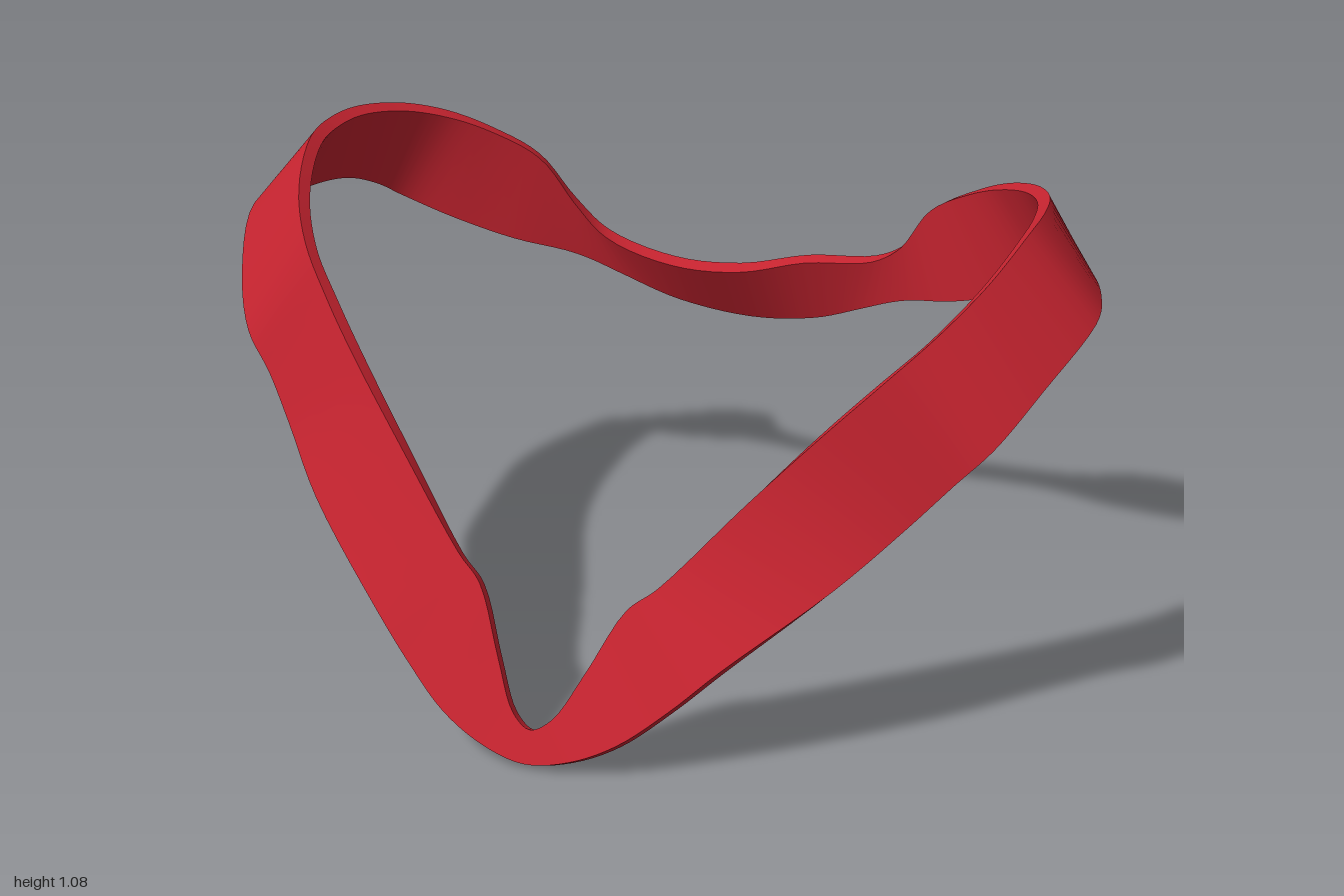
import * as THREE from 'three';

// Half of the band, front centre to back centre: lower edge xyz, upper edge xyz
const HALF = [
  [0, 0.015, 0.70, 0, 0.08, 0.665],
  [0.1, 0.035, 0.69, 0.045, 0.105, 0.65],
  [0.2, 0.085, 0.67, 0.1, 0.2, 0.60],
  [0.3, 0.165, 0.63, 0.17, 0.335, 0.535],
  [0.4, 0.26, 0.585, 0.23, 0.385, 0.51],
  [0.6, 0.425, 0.455, 0.4, 0.58, 0.435],
  [0.72, 0.54, 0.345, 0.54, 0.73, 0.36],
  [0.8, 0.625, 0.28, 0.64, 0.83, 0.29],
  [0.87, 0.7, 0.24, 0.73, 0.92, 0.21],
  [0.94, 0.8, 0.13, 0.8, 1.0, 0.1],
  [1.0, 0.89, -0.05, 0.845, 1.07, -0.05],
  [0.975, 0.9, -0.19, 0.85, 1.083, -0.16],
  [0.92, 0.89, -0.33, 0.83, 1.08, -0.27],
  [0.87, 0.85, -0.42, 0.77, 1.06, -0.38],
  [0.82, 0.81, -0.465, 0.69, 1.03, -0.45],
  [0.7, 0.755, -0.495, 0.6, 0.98, -0.51],
  [0.56, 0.7, -0.545, 0.5, 0.91, -0.56],
  [0.42, 0.66, -0.61, 0.42, 0.8, -0.59],
  [0.3, 0.61, -0.65, 0.34, 0.75, -0.61],
  [0.17, 0.56, -0.68, 0.17, 0.725, -0.615],
  [0, 0.535, -0.70, 0, 0.68, -0.615],
];
const THICKNESS = 0.03;
const SEGMENTS = 200;

// Closed edge curve; the upper edge dips a little more on the back of the -x side
function edgeCurve(offset) {
  const point = (row, side) => new THREE.Vector3(row[offset] * side, row[offset + 1], row[offset + 2]);
  const left = HALF.slice(1, -1).map((row, i) => {
    const p = point(row, -1);
    if (offset === 3 && i === 17) p.y -= 0.03;
    if (offset === 3 && i === 18) p.y -= 0.052;
    return p;
  });
  const points = [...HALF.map((row) => point(row, 1)), ...left.reverse()];
  return new THREE.CatmullRomCurve3(points, true, 'centripetal');
}

// Smooth closed strip between two rings of points
function strip(from, to) {
  const n = from.length;
  const positions = [...from, ...to].flatMap((p) => p.toArray());
  const index = [];
  for (let i = 0; i < n; i++) {
    const j = (i + 1) % n;
    index.push(i, j, n + i, j, n + j, n + i);
  }
  const geometry = new THREE.BufferGeometry();
  geometry.setAttribute('position', new THREE.Float32BufferAttribute(positions, 3));
  geometry.setIndex(index);
  geometry.computeVertexNormals();
  return geometry;
}

export function createModel() {
  const group = new THREE.Group();
  group.name = 'collarBand';
  const red = new THREE.MeshStandardMaterial({ color: 0xc4232f });
  red.name = 'red';

  // Matching samples on both edges, offset inward for the inner face
  const lowerCurve = edgeCurve(0);
  const upperCurve = edgeCurve(3);
  const lower = [], upper = [], innerLower = [], innerUpper = [];
  for (let i = 0; i < SEGMENTS; i++) {
    const t = i / SEGMENTS;
    const l = lowerCurve.getPoint(t);
    const u = upperCurve.getPoint(t);
    const along = lowerCurve.getTangent(t).add(upperCurve.getTangent(t));
    const inward = u.clone().sub(l).cross(along).setLength(THICKNESS);
    lower.push(l);
    upper.push(u);
    innerLower.push(l.clone().add(inward));
    innerUpper.push(u.clone().add(inward));
  }

  // Four faces of the band, kept separate for crisp edges
  const faces = [
    ['outerFace', lower, upper],
    ['upperRim', upper, innerUpper],
    ['innerFace', innerUpper, innerLower],
    ['lowerRim', innerLower, lower],
  ];
  for (const [name, from, to] of faces) {
    const mesh = new THREE.Mesh(strip(from, to), red);
    mesh.name = name;
    group.add(mesh);
  }
  return group;
}
